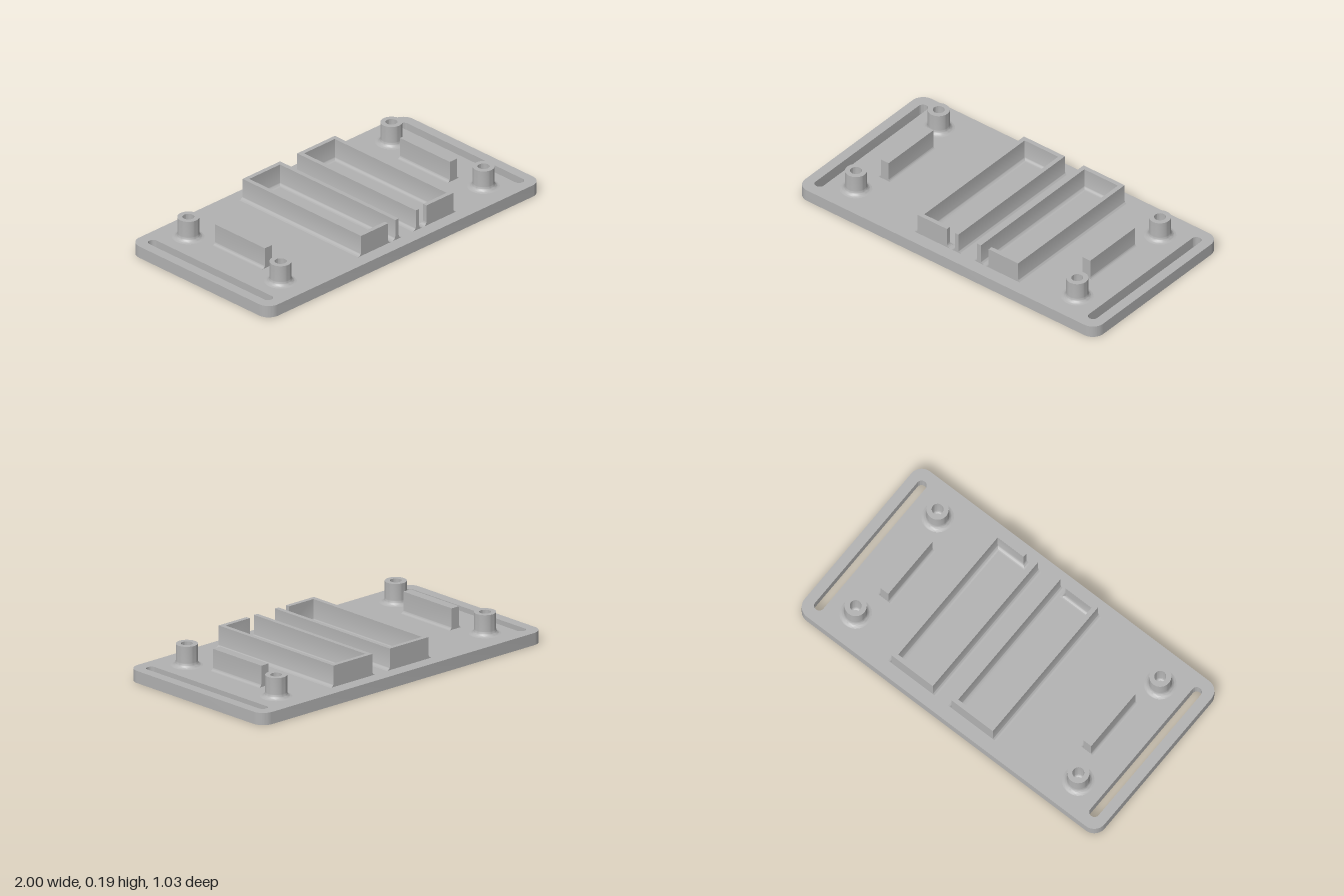
import * as THREE from 'three';
import { toCreasedNormals } from 'three/addons/utils/BufferGeometryUtils.js';

const BASE = 0.067, TOP = 0.185, CREASE = 0.5;

// Heights and outward flare of a concave fillet of radius r, ending at the top
function filletLevels(r, steps = 8) {
  const levels = [];
  for (let i = 0; i <= steps; i++) {
    const a = (i / steps) * Math.PI / 2;
    levels.push([r * (1 - Math.sin(a)), BASE + r * (1 - Math.cos(a))]);
  }
  levels.push([0, TOP]);
  return levels;
}

// Upright wall from a counter-clockwise plan of (x, -z) points with square corners.
// Its foot is filleted, except on the end faces at the greatest |z|.
function wallGeometry(plan, r = 0.022) {
  const n = plan.length;
  const end = Math.max(...plan.map((p) => Math.abs(p[1])));
  const normals = plan.map((p, i) => {
    const q = plan[(i + 1) % n];
    if (p[1] === q[1] && Math.abs(p[1]) === end) return [0, 0];
    return [Math.sign(q[1] - p[1]), -Math.sign(q[0] - p[0])];
  });
  const rings = filletLevels(r).map(([d, y]) => plan.map((p, i) => {
    const a = normals[i], b = normals[(i + n - 1) % n];
    return [p[0] + d * (a[0] + b[0]), y, -p[1] - d * (a[1] + b[1])];
  }));
  const pos = [];
  for (let k = 0; k < rings.length - 1; k++) {
    for (let i = 0; i < n; i++) {
      const j = (i + 1) % n;
      const a = rings[k][i], b = rings[k][j], c = rings[k + 1][j], d = rings[k + 1][i];
      pos.push(...a, ...b, ...c, ...a, ...c, ...d);
    }
  }
  const contour = plan.map((p) => new THREE.Vector2(p[0], p[1]));
  const cap = rings[rings.length - 1];
  for (const face of THREE.ShapeUtils.triangulateShape(contour, [])) {
    for (const i of face) pos.push(...cap[i]);
  }
  const g = new THREE.BufferGeometry();
  g.setAttribute('position', new THREE.Float32BufferAttribute(pos, 3));
  g.computeVertexNormals();
  return toCreasedNormals(g, CREASE);
}

// Rounded rectangle drawn on a Shape or Path
function roundedRect(path, x, y, hw, hh, r) {
  path.moveTo(x + hw, y - hh + r);
  path.absarc(x + hw - r, y + hh - r, r, 0, Math.PI / 2);
  path.absarc(x - hw + r, y + hh - r, r, Math.PI / 2, Math.PI);
  path.absarc(x - hw + r, y - hh + r, r, Math.PI, Math.PI * 1.5);
  path.absarc(x + hw - r, y - hh + r, r, Math.PI * 1.5, Math.PI * 2);
  return path;
}

export function createModel() {
  const model = new THREE.Group();
  model.name = 'mountingPlate';
  const grey = new THREE.MeshStandardMaterial({ color: 0xb2b2b2 });
  grey.name = 'grey';
  const add = (name, geometry, x = 0, y = 0, z = 0) => {
    const mesh = new THREE.Mesh(geometry, grey);
    mesh.name = name;
    mesh.position.set(x, y, z);
    model.add(mesh);
  };

  // Base plate with a strap slot at each end
  const outline = roundedRect(new THREE.Shape(), 0, 0, 1, 0.515, 0.07);
  for (const s of [-1, 1]) {
    outline.holes.push(roundedRect(new THREE.Path(), s * 0.917, 0, 0.027, 0.453, 0.0265));
  }
  const plate = new THREE.ExtrudeGeometry(outline, { depth: BASE, bevelEnabled: false, curveSegments: 12 });
  plate.rotateX(-Math.PI / 2);
  add('basePlate', toCreasedNormals(plate, CREASE));

  // Hollow screw posts with flared feet
  const profile = filletLevels(0.027).map(([d, y]) => new THREE.Vector2(0.058 + d, y));
  profile.push(new THREE.Vector2(0.031, TOP));
  for (let i = 0; i <= 4; i++) {
    const a = (i / 4) * Math.PI / 2;
    profile.push(new THREE.Vector2(0.031 - 0.012 * (1 - Math.cos(a)), BASE + 0.012 * (1 - Math.sin(a))));
  }
  const post = toCreasedNormals(new THREE.LatheGeometry(profile, 40), CREASE);
  for (const x of [-0.742, 0.742]) {
    for (const z of [-0.342, 0.342]) add('screwPost', post, x, 0, z);
  }

  // Short stop bars
  const bar = wallGeometry([[-0.026, -0.185], [0.026, -0.185], [0.026, 0.185], [-0.026, 0.185]], 0.018);
  for (const x of [-0.676, 0.676]) add('stopBar', bar, x);

  // Two mirrored trays, each with a cable gap at the front
  const tray = [
    [-0.1375, -0.44], [0.06, -0.44], [0.06, -0.415], [-0.1125, -0.415], [-0.1125, 0.415],
    [0.1125, 0.415], [0.1125, -0.44], [0.1375, -0.44], [0.1375, 0.44], [-0.1375, 0.44],
  ];
  const mirrored = tray.map(([x, v]) => [-x, v]).reverse();
  add('rightTray', wallGeometry(tray), -0.1125);
  add('leftTray', wallGeometry(mirrored), 0.2875);

  return model;
}
